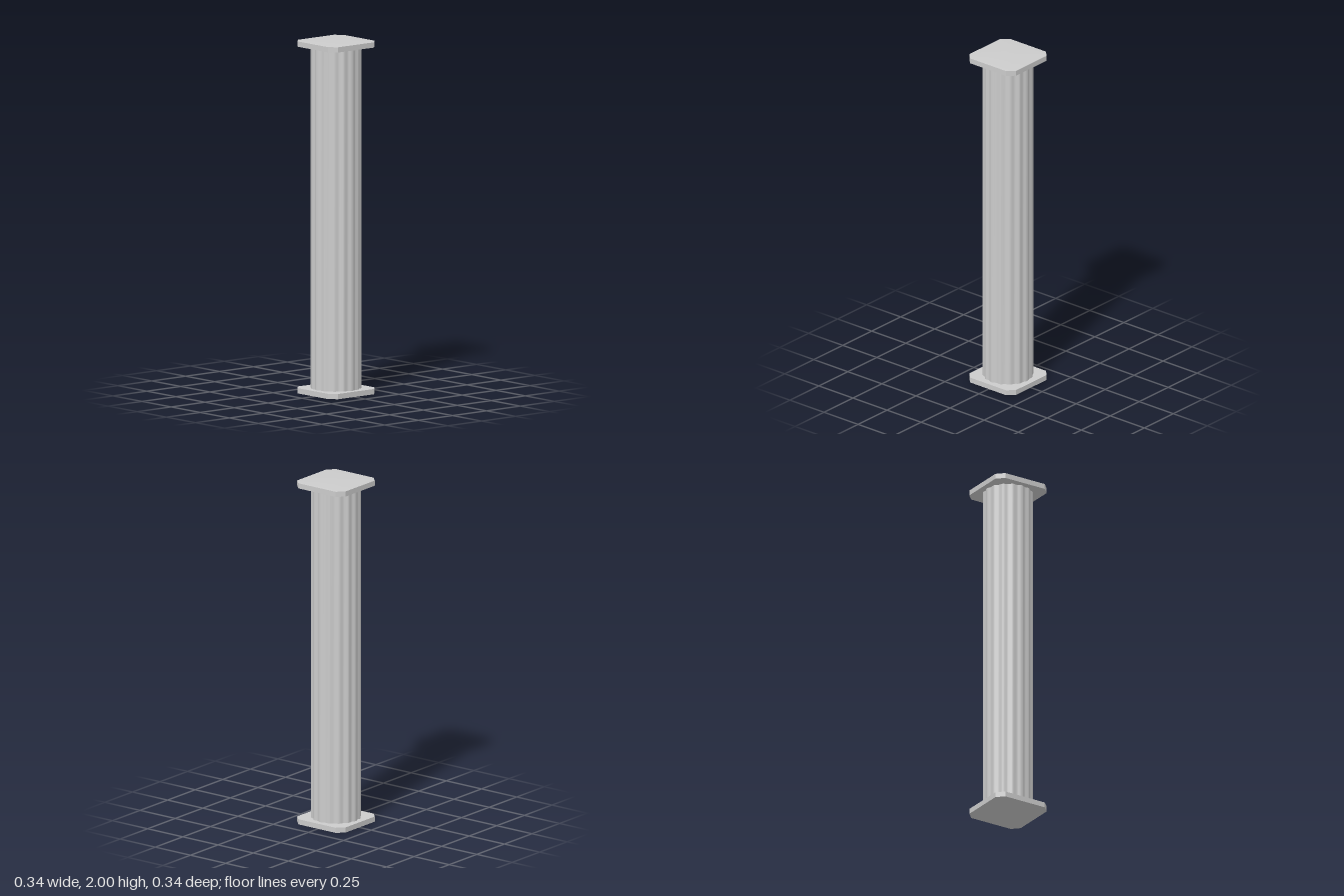
import * as THREE from 'three';
import { toCreasedNormals } from 'three/addons/utils/BufferGeometryUtils.js';

const material = new THREE.MeshStandardMaterial({ color: 0xcccccc });

// Square outline with cut corners, counter-clockwise seen from above
function cutSquare(half, cut) {
  const k = half - cut;
  return [[half, -k], [half, k], [k, half], [-k, half], [-half, k], [-half, -k], [-k, -half], [k, -half]];
}

// Round outline with shallow rounded flutes
function flutedCircle(radius, depth, flutes, steps) {
  const points = [];
  for (let i = 0; i < flutes * steps; i++) {
    const a = (i / (flutes * steps)) * Math.PI * 2;
    const r = radius - depth * (0.5 - 0.5 * Math.cos(a * flutes));
    points.push([r * Math.cos(a), r * Math.sin(a)]);
  }
  return points;
}

// Skin a stack of { y, outline } sections, closing both ends at the centre
function loft(sections) {
  const n = sections[0].outline.length;
  const positions = [];
  const index = [];
  for (const { y, outline } of sections) for (const [x, d] of outline) positions.push(x, y, -d);
  for (let s = 0; s < sections.length - 1; s++) {
    for (let i = 0; i < n; i++) {
      const a = s * n + i, b = s * n + (i + 1) % n;
      index.push(a, b, b + n, a, b + n, a + n);
    }
  }
  const bottom = positions.length / 3, top = bottom + 1, last = (sections.length - 1) * n;
  positions.push(0, sections[0].y, 0, 0, sections[sections.length - 1].y, 0);
  for (let i = 0; i < n; i++) {
    const j = (i + 1) % n;
    index.push(bottom, j, i, top, last + i, last + j);
  }
  const geometry = new THREE.BufferGeometry();
  geometry.setAttribute('position', new THREE.Float32BufferAttribute(positions, 3));
  geometry.setIndex(index);
  return toCreasedNormals(geometry, 0.6);
}

export function createModel() {
  const column = new THREE.Group();
  column.name = 'column';

  const add = (name, geometry) => {
    const mesh = new THREE.Mesh(geometry, material);
    mesh.name = name;
    column.add(mesh);
    return mesh;
  };

  // Fluted shaft, ends tucked into the plates
  const flutes = flutedCircle(0.142, 0.008, 16, 8);
  add('shaft', loft([{ y: 0.02, outline: flutes }, { y: 1.98, outline: flutes }]));

  // Plate with a slightly crowned outer face
  const plate = loft([
    { y: 0, outline: cutSquare(0.172, 0.04) },
    { y: 0.03, outline: cutSquare(0.172, 0.04) },
    { y: 0.033, outline: cutSquare(0.135, 0.03) },
  ]);
  add('topPlate', plate).position.y = 1.967;
  const base = add('basePlate', plate);
  base.rotation.x = Math.PI;
  base.position.y = 0.033;

  return column;
}
